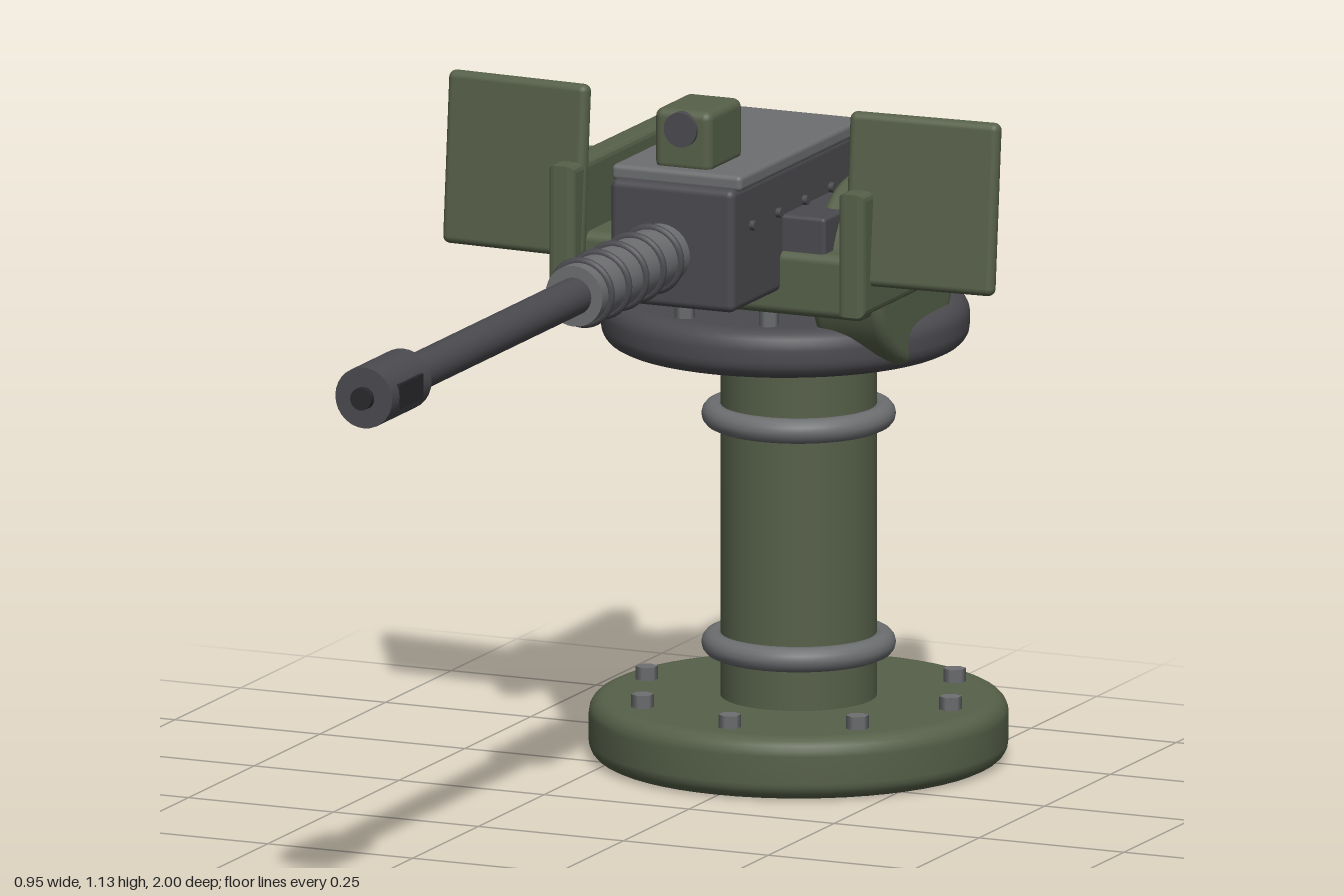
import * as THREE from 'three';
import { RoundedBoxGeometry } from 'three/addons/geometries/RoundedBoxGeometry.js';

const mat = (name, color) => {
  const m = new THREE.MeshStandardMaterial({ color });
  m.name = name;
  return m;
};

export function createModel() {
  const olive = mat('olive paint', 0x566049);
  const gunmetal = mat('gunmetal', 0x4b4a4f);
  const steel = mat('steel grey', 0x6c6e70);
  const black = mat('black', 0x29292c);

  const model = new THREE.Group();
  model.name = 'pedestalGun';

  const add = (name, geometry, material, x = 0, y = 0, z = 0, parent = model) => {
    const mesh = new THREE.Mesh(geometry, material);
    mesh.name = name;
    mesh.position.set(x, y, z);
    parent.add(mesh);
    return mesh;
  };
  // Box given by its limits on each axis
  const box = (name, material, [x0, x1], [y0, y1], [z0, z1], r = 0.012) =>
    add(name, new RoundedBoxGeometry(x1 - x0, y1 - y0, z1 - z0, 3, r), material,
      (x0 + x1) / 2, (y0 + y1) / 2, (z0 + z1) / 2);
  // Disc with rounded rims, standing on y = 0
  const roundedDisc = (radius, height, rim) => {
    const p = [new THREE.Vector2(0, 0), new THREE.Vector2(radius - rim - 0.003, 0)];
    for (const [cy, start] of [[rim, -Math.PI / 2], [height - rim, 0]]) {
      for (let i = 0; i <= 5; i++) {
        const a = start + (i / 5) * Math.PI / 2;
        p.push(new THREE.Vector2(radius - rim + rim * Math.cos(a), cy + rim * Math.sin(a)));
      }
    }
    p.push(new THREE.Vector2(radius - rim - 0.003, height), new THREE.Vector2(0, height));
    return new THREE.LatheGeometry(p, 56);
  };
  // Cylinder along z between two depths
  const rodZ = (name, material, r, z0, z1, y = 0.915, sides = 28) =>
    add(name, new THREE.CylinderGeometry(r, r, z1 - z0, sides).rotateX(Math.PI / 2),
      material, 0, y, (z0 + z1) / 2);
  const boltCircle = (name, count, radius, y, cz, r, h) => {
    const g = new THREE.CylinderGeometry(r, r, h, 6);
    for (let i = 0; i < count; i++) {
      const a = (i / count) * Math.PI * 2;
      add(name, g, steel, Math.cos(a) * radius, y, cz + Math.sin(a) * radius);
    }
  };

  // Pedestal
  const pz = -0.667;
  add('base', roundedDisc(0.33, 0.1, 0.028), olive, 0, 0, pz);
  boltCircle('baseBolt', 8, 0.262, 0.108, pz, 0.018, 0.026);
  add('column', new THREE.CylinderGeometry(0.123, 0.123, 0.62, 48), olive, 0, 0.39, pz);
  for (const y of [0.185, 0.553]) {
    add('columnRing', new THREE.TorusGeometry(0.133, 0.02, 14, 56).rotateX(Math.PI / 2), steel, 0, y, pz);
  }

  // Turntable
  const tz = -0.617;
  add('turntable', roundedDisc(0.29, 0.078, 0.03), gunmetal, 0, 0.678, tz);
  boltCircle('turntableBolt', 10, 0.235, 0.767, tz, 0.016, 0.03);

  // Cradle floor
  box('cradleFloor', olive, [-0.25, 0.25], [0.782, 0.885], [-0.76, -0.36], 0.015);

  // Side plates, hubs and shields, mirrored
  const bevel = 0.011;
  const outline = new THREE.Shape([[0.322, 0.812], [0.322, 0.988], [0.777, 0.988], [0.75, 0.812]]
    .map(([z, y]) => new THREE.Vector2(z, y)));
  const plate = new THREE.ExtrudeGeometry(outline, {
    depth: 0.045 - 2 * bevel, bevelThickness: bevel, bevelSize: bevel, bevelSegments: 3,
  }).rotateY(Math.PI / 2).translate(-0.0115, 0, 0);
  for (const s of [-1, 1]) {
    add('sidePlate', plate, olive, s * 0.25, 0, 0);
    add('trunnionHub', new THREE.CylinderGeometry(0.064, 0.064, 0.045, 32).rotateZ(Math.PI / 2),
      steel, s * 0.289, 0.92, -0.52);
    const shield = add('shield', new RoundedBoxGeometry(0.25, 0.275, 0.026, 3, 0.012), olive,
      s * 0.35, 0.983, -0.368);
    shield.rotation.set(-0.09, s * 0.08, 0);
  }

  // Ammunition drum and feed block
  add('ammoDrum', roundedDisc(0.15, 0.124, 0.018).rotateZ(-Math.PI / 2), olive, 0.141, 0.83, -0.54);
  box('feedBlock', gunmetal, [0.09, 0.18], [0.87, 0.942], [-0.55, -0.37], 0.006);

  // Receiver
  box('receiver', gunmetal, [-0.107, 0.107], [0.82, 1.018], [-0.7, -0.182], 0.012);
  box('topCover', steel, [-0.112, 0.112], [1.012, 1.038], [-0.67, -0.2], 0.008);
  box('rearCap', steel, [-0.09, 0.09], [0.87, 1.0], [-0.81, -0.68], 0.015);
  const rivet = new THREE.CylinderGeometry(0.008, 0.008, 0.012, 10).rotateZ(Math.PI / 2);
  for (const s of [-1, 1]) {
    for (let i = 0; i < 5; i++) add('receiverRivet', rivet, gunmetal, s * 0.109, 0.95, -0.25 - i * 0.1);
  }

  // Rear grips, ring guard and trigger
  for (const s of [-1, 1]) {
    const path = new THREE.LineCurve3(
      new THREE.Vector3(s * 0.085, 0.89, -0.775), new THREE.Vector3(s * 0.113, 0.825, -0.9));
    const grip = add('grip', new THREE.CylinderGeometry(0.013, 0.013, path.getLength(), 14), black);
    grip.position.copy(path.getPoint(0.5));
    grip.quaternion.setFromUnitVectors(new THREE.Vector3(0, 1, 0), path.getTangent(0));
  }
  add('ringGuard', new THREE.TorusGeometry(0.075, 0.009, 10, 40), steel, 0, 0.845, -0.832);
  box('trigger', steel, [-0.012, 0.012], [0.77, 0.89], [-0.778, -0.762], 0.005);

  // Barrel with ribbed jacket
  rodZ('barrel', gunmetal, 0.03, -0.2, 0.86);
  rodZ('barrelJacket', steel, 0.049, -0.145, 0.188);
  for (let i = 0; i < 5; i++) {
    add('jacketRib', new THREE.TorusGeometry(0.05, 0.007, 8, 36), gunmetal, 0, 0.915, 0.158 - i * 0.066);
  }

  // Muzzle brake with side slots and bore
  rodZ('muzzleBrake', gunmetal, 0.049, 0.838, 0.988);
  rodZ('bore', black, 0.018, 0.95, 1.0);
  for (const s of [-1, 1]) {
    add('muzzleSlot', new THREE.BoxGeometry(0.009, 0.04, 0.09), black, s * 0.0455, 0.915, 0.915);
  }

  // Sight
  box('sight', olive, [-0.049, 0.049], [1.03, 1.13], [-0.35, -0.222], 0.014);
  rodZ('sightLens', gunmetal, 0.028, -0.24, -0.215, 1.1);

  return model;
}
